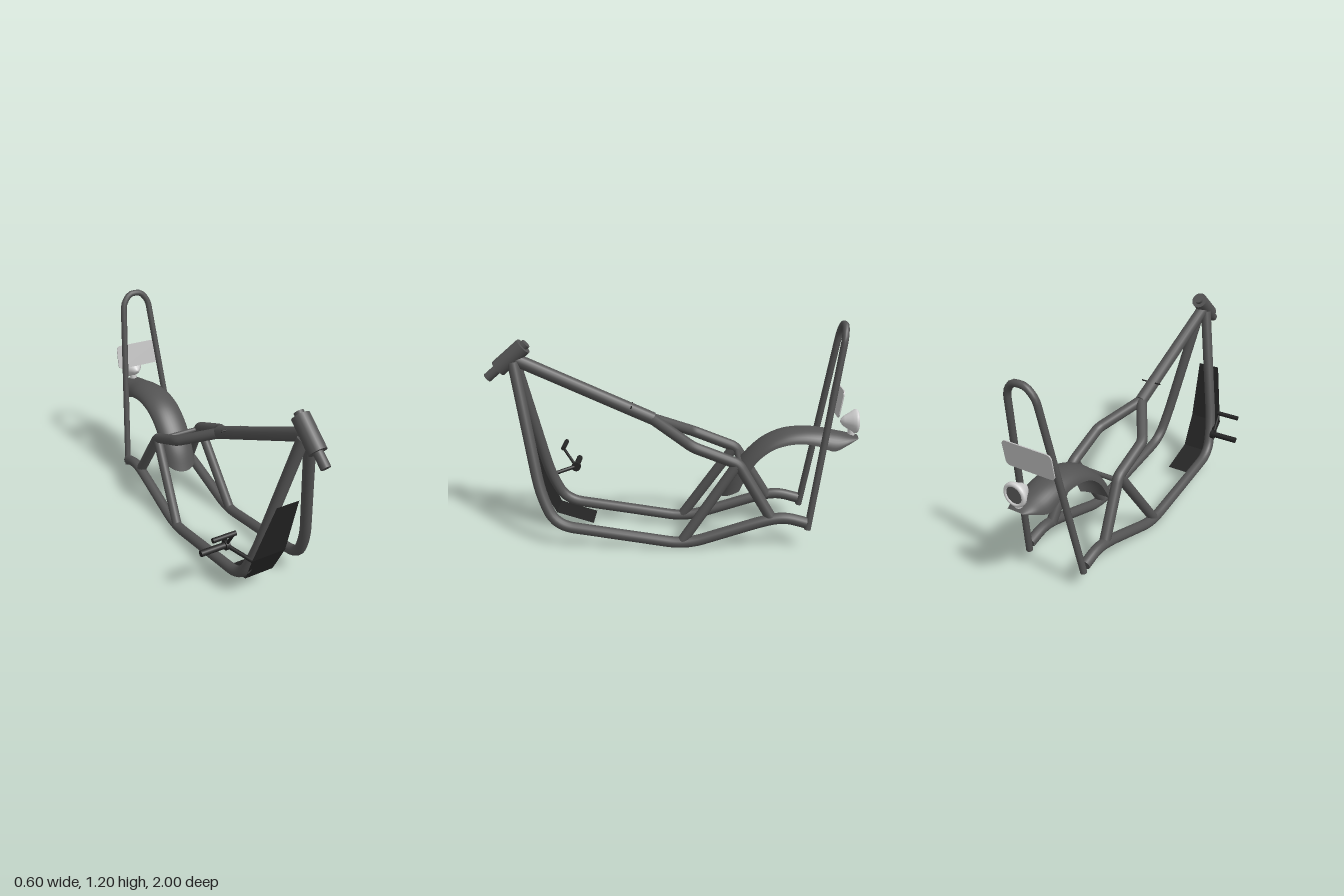
import * as THREE from 'three';

const V = (x, y, z) => new THREE.Vector3(x, y, z);
const CX = 0.085; // centre plane of the frame

const paint = (name, color, side = THREE.FrontSide) => {
  const m = new THREE.MeshStandardMaterial({ color, side });
  m.name = name;
  return m;
};

// Straight runs joined by rounded bends of radius r
function bentPath(pts, r) {
  const path = new THREE.CurvePath();
  let from = pts[0];
  for (let i = 1; i < pts.length - 1; i++) {
    const p = pts[i];
    const cut = (q) => {
      const d = q.clone().sub(p);
      return p.clone().addScaledVector(d.clone().normalize(), Math.min(r, d.length() * 0.45));
    };
    const a = cut(pts[i - 1]), b = cut(pts[i + 1]);
    path.add(new THREE.LineCurve3(from, a));
    path.add(new THREE.QuadraticBezierCurve3(a, p, b));
    from = b;
  }
  path.add(new THREE.LineCurve3(from, pts[pts.length - 1]));
  return path;
}

export function createModel() {
  const model = new THREE.Group();
  const steel = paint('frameGrey', 0x545454);
  const shell = paint('fenderGrey', 0x545454, THREE.DoubleSide);
  const black = paint('black', 0x242424);
  const panelBlack = paint('panelBlack', 0x242424, THREE.DoubleSide);
  const silver = paint('plateSilver', 0xc4c4c4);
  const chrome = paint('lampChrome', 0xd4d4d4);
  const lens = paint('lensGrey', 0x585858);

  const add = (name, geo, mat) => {
    const m = new THREE.Mesh(geo, mat);
    m.name = name;
    model.add(m);
    return m;
  };

  // Cylinder between two points
  const rod = (name, a, b, r, mat, sides = 16) => {
    const d = b.clone().sub(a);
    const m = add(name, new THREE.CylinderGeometry(r, r, d.length(), sides), mat);
    m.position.copy(a).add(b).multiplyScalar(0.5);
    m.quaternion.setFromUnitVectors(V(0, 1, 0), d.normalize());
    return m;
  };

  // Bent tube with closed ends
  const tube = (name, pts, r, mat, bend = 0.08) => {
    const path = bentPath(pts, r === 0 ? 0 : bend);
    add(name, new THREE.TubeGeometry(path, 90, r, 14), mat);
    [[0, -1], [1, 1]].forEach(([t, s]) => {
      const cap = add(name + 'Cap', new THREE.CircleGeometry(r, 14), mat);
      cap.position.copy(path.getPoint(t));
      cap.quaternion.setFromUnitVectors(V(0, 0, 1), path.getTangent(t).multiplyScalar(s).normalize());
    });
  };

  // Mirrored frame rails and struts: [offset, y, z]
  for (const s of [1, -1]) {
    const side = s > 0 ? 'left' : 'right';
    const P = ([o, y, z]) => V(CX + s * o, y, z);
    tube(side + 'CradleTube', [
      [0.02, 0.98, 0.835], [0.155, 0.3, 0.7], [0.182, 0.125, 0.62], [0.183, 0.022, -0.08],
      [0.178, 0.165, -0.51], [0.176, 0.18, -0.61], [0.176, 0.15, -0.72],
    ].map(P), 0.03, steel, 0.1);
    tube(side + 'SeatTube', [
      [0, 0.675, 0.11], [0.145, 0.56, -0.115], [0.145, 0.468, -0.355], [0.174, 0.165, -0.54],
    ].map(P), 0.03, steel, 0.03);
    rod(side + 'Strut', P([0.147, 0.46, -0.345]), P([0.182, 0.04, -0.06]), 0.028, steel);
  }
  rod('backbone', V(CX, 0.99, 0.82), V(CX, 0.672, 0.1), 0.035, steel);
  rod('backbonePin', V(CX - 0.06, 0.745, 0.215), V(CX + 0.06, 0.745, 0.215), 0.004, black, 8);
  rod('fenderCrossbar', V(CX - 0.14, 0.45, -0.365), V(CX + 0.14, 0.45, -0.365), 0.014, steel);

  // Steering head
  rod('neck', V(CX, 1.065, 0.78), V(CX, 0.945, 0.92), 0.046, steel, 24);
  rod('steeringStem', V(CX, 1.079, 0.765), V(CX, 0.893, 0.982), 0.025, steel, 20);

  // Tall backrest hoop, leaning back
  const hoopZ = (y) => -0.73 - 0.165 * (y - 0.11) / 1.09;
  const hoop = [[-0.175, 0.11], [-0.082, 1.13], [-0.038, 1.187], [0.038, 1.187], [0.082, 1.13], [0.175, 0.11]];
  tube('backrestHoop', hoop.map(([o, y]) => V(CX + o, y, hoopZ(y))), 0.018, steel, 0.03);

  // Rear fender: arched sections from crown to edge [crownZ, crownY, edgeZ, edgeY, halfWidth]
  const stations = [
    [-0.27, 0.24, -0.365, 0.295, 0.1], [-0.315, 0.36, -0.4, 0.37, 0.1],
    [-0.39, 0.475, -0.46, 0.465, 0.1], [-0.49, 0.57, -0.54, 0.53, 0.1],
    [-0.59, 0.618, -0.62, 0.558, 0.1], [-0.69, 0.633, -0.7, 0.565, 0.1],
    [-0.79, 0.629, -0.78, 0.553, 0.1], [-0.88, 0.613, -0.865, 0.525, 0.095],
    [-0.94, 0.6, -0.935, 0.553, 0.078], [-1.0, 0.586, -0.995, 0.578, 0.045],
  ];
  const crown = new THREE.CatmullRomCurve3(stations.map((s) => V(s[4], s[1], s[0])));
  const edge = new THREE.CatmullRomCurve3(stations.map((s) => V(s[4], s[3], s[2])));
  const NU = 45, NV = 18;
  const fender = new THREE.PlaneGeometry(1, 1, NV, NU);
  for (let i = 0; i <= NU; i++) {
    const c = crown.getPoint(i / NU), e = edge.getPoint(i / NU);
    for (let j = 0; j <= NV; j++) {
      const a = Math.PI * (j / NV), h = Math.sin(a);
      fender.attributes.position.setXYZ(i * (NV + 1) + j, CX - c.x * Math.cos(a),
        e.y + (c.y - e.y) * h, e.z + (c.z - e.z) * h);
    }
  }
  // Wind the faces outward
  const ix = fender.index;
  for (let k = 0; k < ix.count; k += 3) {
    const b = ix.getX(k + 1);
    ix.setX(k + 1, ix.getX(k + 2));
    ix.setX(k + 2, b);
  }
  fender.computeVertexNormals();
  add('rearFender', fender, shell);

  // Tail lamp
  const profile = [[0, 0], [0.012, 0.004], [0.03, 0.022], [0.052, 0.058], [0.064, 0.075], [0.064, 0.087],
    [0.058, 0.094], [0.047, 0.094], [0.045, 0.086]].map(([x, y]) => new THREE.Vector2(x, y));
  const lamp = add('tailLamp', new THREE.LatheGeometry(profile, 28).rotateX(-Math.PI / 2), chrome);
  lamp.position.set(CX, 0.666, -0.902);
  const glass = add('tailLampLens', new THREE.CircleGeometry(0.046, 28).rotateY(Math.PI), lens);
  glass.position.set(CX, 0.666, -0.99);
  rod('tailLampStem', V(CX, 0.59, -0.965), V(CX, 0.64, -0.965), 0.02, chrome);

  // Rounded rear plate
  const w = 0.144, h = 0.073, r = 0.025;
  const outline = new THREE.Shape();
  outline.absarc(w - r, h - r, r, 0, Math.PI / 2);
  outline.absarc(r - w, h - r, r, Math.PI / 2, Math.PI);
  outline.absarc(r - w, r - h, r, Math.PI, Math.PI * 1.5);
  outline.absarc(w - r, r - h, r, Math.PI * 1.5, Math.PI * 2);
  const plate = add('rearPlate', new THREE.ExtrudeGeometry(outline, { depth: 0.006, bevelEnabled: false }), silver);
  plate.position.set(CX, 0.793, -0.878);
  plate.rotation.x = -0.15;

  // Half-width front panel, bent in steps: [outerX, y, z]
  const rows = [[-0.045, 0.635, 0.818], [-0.115, 0.3, 0.738], [-0.085, 0.12, 0.645], [-0.085, 0.057, 0.44]];
  const pos = [];
  for (let i = 0; i < rows.length - 1; i++) {
    const [a, b] = [rows[i], rows[i + 1]];
    const a2 = [CX, a[1], a[2]], b2 = [CX, b[1], b[2]];
    pos.push(...a, ...b, ...b2, ...a, ...b2, ...a2);
  }
  const panel = new THREE.BufferGeometry();
  panel.setAttribute('position', new THREE.Float32BufferAttribute(pos, 3));
  panel.computeVertexNormals();
  add('frontPanel', panel, panelBlack);

  // Foot controls on the right side
  rod('pegBracket', V(-0.09, 0.275, 0.71), V(-0.157, 0.308, 0.565), 0.011, black);
  rod('footPeg', V(-0.15, 0.307, 0.565), V(-0.305, 0.307, 0.565), 0.017, black);
  rod('pegHub', V(-0.143, 0.307, 0.565), V(-0.166, 0.307, 0.565), 0.027, black);
  rod('shiftLever', V(-0.155, 0.307, 0.565), V(-0.155, 0.42, 0.635), 0.008, black);
  rod('shiftPeg', V(-0.147, 0.42, 0.635), V(-0.28, 0.42, 0.635), 0.013, black);

  return model;
}
